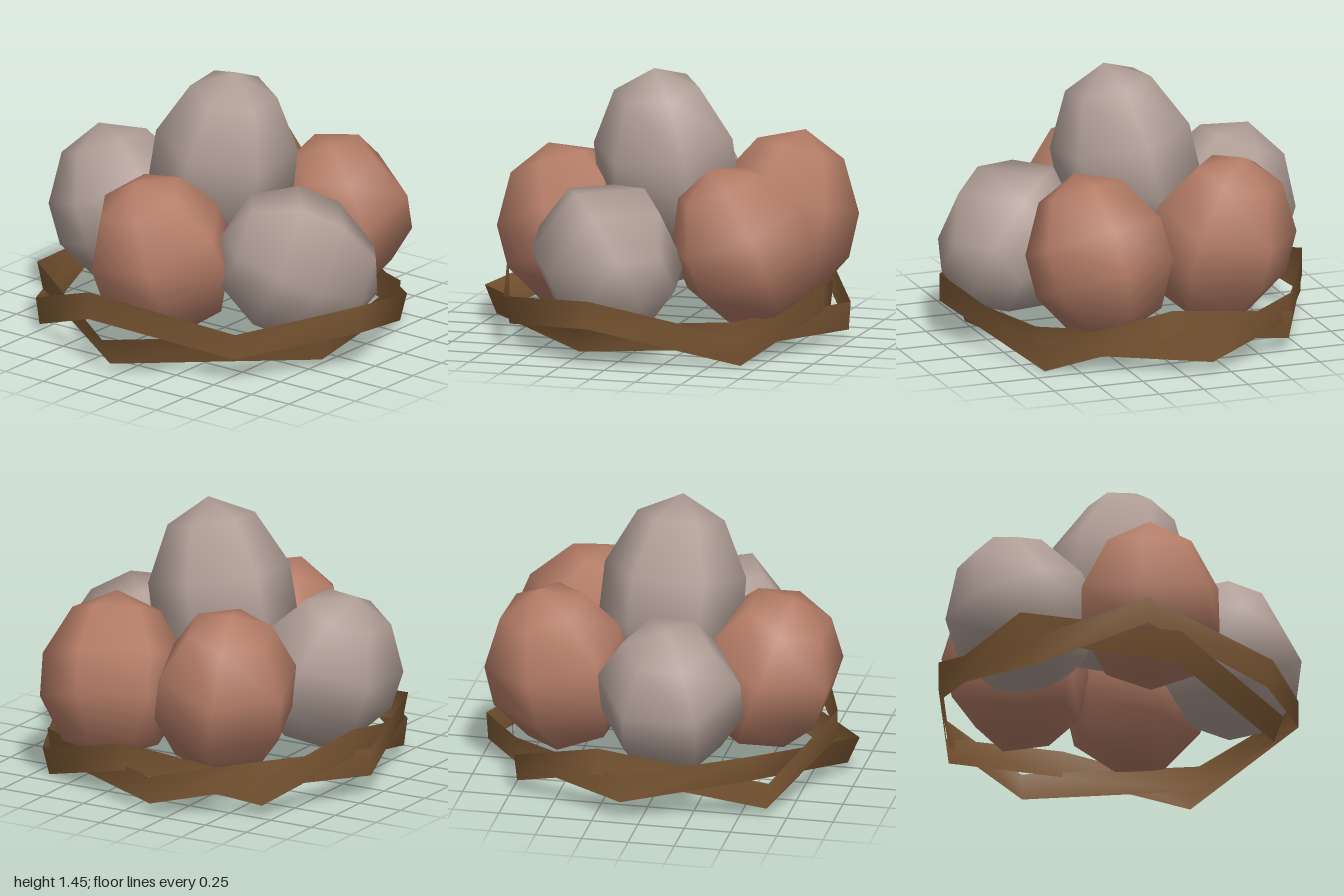
import * as THREE from 'three';

const shellGrey = new THREE.MeshStandardMaterial({ name: 'shellGrey', color: 0xb09e96 });
const shellRed = new THREE.MeshStandardMaterial({ name: 'shellRed', color: 0xb47c66 });
const straw = new THREE.MeshStandardMaterial({ name: 'straw', color: 0x7f5a35, side: THREE.DoubleSide });

// Six-sided egg, blunt below and narrower above, with smooth poles
const eggProfile = [[0, -0.42], [0.26, -0.34], [0.395, -0.11], [0.39, 0.12], [0.24, 0.37], [0, 0.47]]
  .map(([r, y]) => new THREE.Vector2(r, y));
const eggGeometry = new THREE.LatheGeometry(eggProfile, 6);
const eggNormals = eggGeometry.attributes.normal;
for (let i = 0; i < eggNormals.count; i += eggProfile.length) {
  eggNormals.setXYZ(i, 0, -1, 0);
  eggNormals.setXYZ(i + eggProfile.length - 1, 0, 1, 0);
}
const UP = new THREE.Vector3(0, 1, 0);

// name, material, centre, axis of the narrow end, spin about the axis, width scale, length scale
const eggs = [
  ['topEgg', shellGrey, [-0.02, 0.92, -0.02], [0.2, 1, 0.06], 0.07, 0.97, 1.18],
  ['frontEgg', shellRed, [-0.03, 0.55, 0.5], [-0.16, 1, 0.36], Math.PI / 6, 1, 1],
  ['rightEgg', shellGrey, [-0.6, 0.59, 0.09], [-0.37, 1, 0.02], 0.03, 0.98, 0.98],
  ['leftEgg', shellGrey, [0.56, 0.53, 0.12], [0.65, -0.35, -0.55], 0.7, 1, 1],
  ['backRightEgg', shellRed, [-0.36, 0.6, -0.56], [-0.2, 1, -0.2], 0.33, 0.98, 1.04],
  ['backLeftEgg', shellRed, [0.33, 0.57, -0.56], [0.17, 1, 0.38], 0, 0.97, 1],
];

// Nest bands: corners as x, z, bottom y, outward lean of the top edge
const bands = [
  [[-0.21, 0.91, 0.27, 0], [0.57, 0.66, 0.14, 0.04], [0.98, 0.1, 0.22, 0], [0.67, -0.65, 0.01, 0.04],
    [0.05, -0.91, 0.2, 0], [-0.68, -0.72, 0.07, 0.02], [-0.94, -0.23, 0.25, 0], [-0.74, 0.64, 0.05, 0.02]],
  [[-0.05, 0.93, 0.06, 0.07], [0.8, 0.2, 0.06, 0.06], [0.69, -0.6, 0.1, 0.02],
    [-0.15, -0.99, 0.07, 0.01], [-0.68, -0.72, 0.17, 0.01], [-0.98, -0.1, 0.12, 0], [-0.78, 0.56, 0.22, 0.03]],
];

// Closed upright ribbon through the given corners
function ribbon(corners) {
  const height = 0.15, n = corners.length;
  const pos = [], index = [];
  corners.forEach(([x, z, y, lean], i) => {
    const k = 1 + lean;
    pos.push(x, y, z, x * k, y + height, z * k);
    const a = 2 * i, b = 2 * ((i + 1) % n);
    index.push(a, b, b + 1, a, b + 1, a + 1);
  });
  const g = new THREE.BufferGeometry();
  g.setAttribute('position', new THREE.Float32BufferAttribute(pos, 3));
  g.setIndex(index);
  g.computeVertexNormals();
  return g;
}

export function createModel() {
  const model = new THREE.Group();
  model.name = 'eggNest';

  for (const [name, material, centre, axis, spin, width, length] of eggs) {
    const egg = new THREE.Mesh(eggGeometry, material);
    egg.name = name;
    egg.position.set(...centre);
    egg.quaternion.setFromUnitVectors(UP, new THREE.Vector3(...axis).normalize());
    egg.rotateY(spin);
    egg.scale.set(width, length, width);
    model.add(egg);
  }

  bands.forEach((corners, i) => {
    const band = new THREE.Mesh(ribbon(corners), straw);
    band.name = 'nestBand' + (i + 1);
    model.add(band);
  });

  return model;
}
